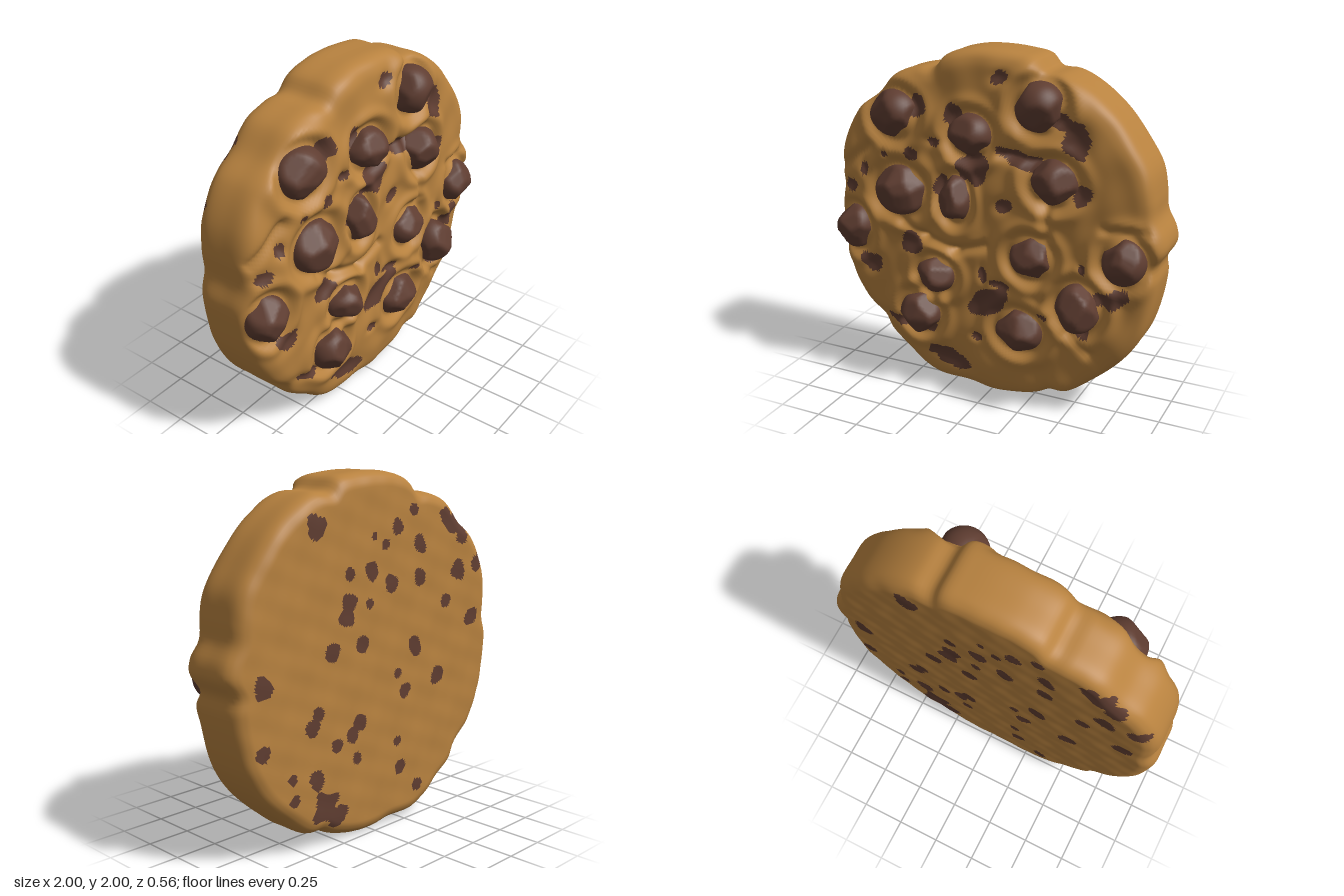
import * as THREE from 'three';
import { mergeVertices } from 'three/addons/utils/BufferGeometryUtils.js';

const dough = new THREE.MeshStandardMaterial({ color: 0xb8823f });
dough.name = 'dough';
const chocolate = new THREE.MeshStandardMaterial({ color: 0x5f3d31 });
chocolate.name = 'chocolate';

// Lumpy outline, clockwise from the top (x, y)
const outline = [
  [0, 2], [0.15, 1.99], [0.25, 1.97], [0.31, 1.91], [0.42, 1.9], [0.55, 1.84], [0.7, 1.72], [0.82, 1.57],
  [0.9, 1.44], [0.93, 1.3], [0.94, 1.2], [0.99, 1.1], [1, 1.03], [0.95, 0.93], [0.96, 0.85], [0.93, 0.65],
  [0.88, 0.5], [0.78, 0.35], [0.62, 0.2], [0.48, 0.1], [0.38, 0.09], [0.3, 0.05], [0.15, 0.01], [0, 0.0],
  [-0.15, 0.02], [-0.33, 0.02], [-0.45, 0.07], [-0.55, 0.15], [-0.68, 0.25], [-0.72, 0.33], [-0.85, 0.45],
  [-0.95, 0.65], [-0.99, 0.85], [-1, 0.98], [-0.97, 1.1], [-0.98, 1.25], [-0.95, 1.42], [-0.85, 1.6],
  [-0.72, 1.7], [-0.6, 1.82], [-0.45, 1.87], [-0.35, 1.88], [-0.28, 1.95], [-0.15, 1.99],
];

// Section from back centre round the rim to front centre (radius factor, z)
const section = [
  [0, -0.255], [0.5, -0.255], [0.88, -0.25], [0.95, -0.24], [0.985, -0.21], [1, -0.16], [1, -0.06],
  [1, 0.03], [0.985, 0.08], [0.95, 0.11], [0.88, 0.13], [0.7, 0.15], [0.4, 0.165], [0, 0.17],
];

// Raised chips: x, y, half width, half height, front z
const chips = [
  [-0.58, 1.61, 0.14, 0.13, 0.21], [0.31, 1.74, 0.13, 0.13, 0.25], [-0.09, 1.55, 0.125, 0.115, 0.24],
  [-0.53, 1.18, 0.15, 0.14, 0.25], [-0.18, 1.18, 0.09, 0.13, 0.25], [0.4, 1.35, 0.13, 0.12, 0.25],
  [-0.87, 0.9, 0.115, 0.13, 0.2], [0.8, 0.97, 0.115, 0.125, 0.25], [0.28, 0.91, 0.125, 0.12, 0.24],
  [-0.31, 0.71, 0.115, 0.105, 0.25], [-0.42, 0.45, 0.12, 0.125, 0.25], [0.21, 0.46, 0.135, 0.125, 0.25],
  [0.56, 0.67, 0.12, 0.135, 0.28],
];

// Sunken chocolate patches in the front: x, y, half width, half height, turn
const patches = [
  [-0.42, 1.67, 0.06, 0.07, 0], [-0.2, 1.65, 0.05, 0.06, 0], [0.52, 1.6, 0.07, 0.1, 0.3],
  [0.43, 1.67, 0.08, 0.04, -0.4], [0.08, 1.87, 0.05, 0.035, 0.2], [-0.31, 1.49, 0.04, 0.025, 0],
  [-0.45, 1.4, 0.045, 0.035, -0.4], [-0.89, 1.15, 0.05, 0.04, 0.3], [-0.78, 1.27, 0.03, 0.035, 0],
  [-0.07, 1.37, 0.1, 0.09, 0.6], [0.21, 1.45, 0.14, 0.045, -0.25], [0.56, 1.3, 0.06, 0.05, 0.5],
  [0.11, 1.18, 0.05, 0.04, 0.4], [-0.47, 0.87, 0.07, 0.065, -0.4], [-0.75, 0.7, 0.075, 0.06, 0],
  [0.02, 0.6, 0.14, 0.075, 0.5], [-0.01, 0.76, 0.025, 0.05, 0], [0.1, 0.72, 0.06, 0.025, 0],
  [0.58, 0.9, 0.02, 0.03, 0], [0.74, 0.75, 0.1, 0.05, 0.3], [0.58, 0.53, 0.04, 0.05, 0],
  [0.36, 0.58, 0.035, 0.02, 0], [-0.24, 0.18, 0.14, 0.06, -0.3], [-0.58, 0.36, 0.08, 0.03, -0.2],
  [-0.37, 0.37, 0.05, 0.05, 0], [-0.05, 0.37, 0.035, 0.025, 0], [-0.26, 1.23, 0.04, 0.07, 0],
  [-0.63, 1.38, 0.02, 0.02, 0],
];

// Chocolate spots in the flat back: x, y, radius
const spots = [
  [0.44, 1.74, 0.065], [-0.29, 1.79, 0.035], [-0.15, 1.7, 0.045], [0.02, 1.66, 0.02], [-0.06, 1.61, 0.028],
  [0.04, 1.48, 0.05], [0.21, 1.48, 0.035], [-0.34, 1.59, 0.05], [-0.57, 1.73, 0.05], [-0.64, 1.68, 0.06],
  [-0.71, 1.62, 0.06], [0.23, 1.25, 0.055], [0.21, 1.33, 0.055], [-0.11, 1.4, 0.05], [0.06, 1.31, 0.03],
  [-0.34, 1.41, 0.05], [0.8, 0.97, 0.06], [0.33, 1.08, 0.055], [0.11, 1.09, 0.05], [-0.68, 1.41, 0.06],
  [-0.86, 1.44, 0.055], [-0.57, 1.25, 0.04], [0.8, 0.63, 0.045], [0.47, 0.7, 0.05], [0.44, 0.77, 0.04],
  [-0.31, 1.02, 0.055], [-0.17, 0.89, 0.03], [-0.81, 1.12, 0.055], [-0.23, 0.78, 0.045], [-0.5, 0.82, 0.055],
  [0.13, 0.66, 0.05], [0.18, 0.6, 0.045], [0.61, 0.45, 0.03], [0.3, 0.57, 0.04], [0.44, 0.41, 0.055],
  [0.6, 0.33, 0.035], [0.15, 0.46, 0.035], [-0.17, 0.49, 0.03], [0.38, 0.24, 0.09], [0.29, 0.17, 0.065],
  [-0.2, 0.33, 0.045], [-0.34, 0.19, 0.04],
];

// Cracks pressed into the front: x1, y1, x2, y2
const cracks = [
  [-0.52, 0.99, -0.38, 0.93], [-0.38, 0.93, -0.18, 0.88], [-0.18, 0.88, 0, 0.93], [0.1, 1.47, 0.4, 1.45],
  [0.36, 1.25, 0.38, 1.05], [-0.75, 1.4, -0.95, 1.25], [0.7, 1.13, 0.9, 1.14], [0.5, 0.5, 0.62, 0.4],
];

const gauss = (d) => Math.exp(-d * d);
const ripple = (x, y) =>
  0.6 * Math.sin(9 * x + 3 * y + 1) * Math.sin(8 * y - 4 * x) + 0.4 * Math.sin(19 * x - 7 * y) * Math.sin(17 * y + 9 * x + 2);

function patchDistance([px, py, rx, ry, turn], x, y) {
  const c = Math.cos(turn), s = Math.sin(turn), dx = x - px, dy = y - py;
  return Math.hypot((dx * c + dy * s) / rx, (dy * c - dx * s) / ry);
}

function crackDistance([x1, y1, x2, y2], x, y) {
  const dx = x2 - x1, dy = y2 - y1;
  const k = THREE.MathUtils.clamp(((x - x1) * dx + (y - y1) * dy) / (dx * dx + dy * dy), 0, 1);
  return Math.hypot(x - x1 - k * dx, y - y1 - k * dy);
}

// Dents, swellings and cracks of the baked front
function frontRelief(x, y) {
  let z = 0.014 * ripple(x, y);
  for (const p of patches) z -= 0.022 * gauss(patchDistance(p, x, y) / 1.1);
  for (const [cx, cy, rx, ry] of chips) {
    const d = Math.hypot((x - cx) / rx, (y - cy) / ry);
    z += 0.018 * gauss((d - 1.6) / 0.3) - 0.02 * gauss((d - 1.1) / 0.25);
  }
  for (const c of cracks) z -= 0.03 * gauss(crackDistance(c, x, y) / 0.03);
  return z;
}

function makeBody() {
  const columns = 280, rows = 165;
  const rim = new THREE.CatmullRomCurve3(
    outline.map(([x, y]) => new THREE.Vector3(x, y, 0)).reverse(), true).getSpacedPoints(columns);
  const profile = new THREE.SplineCurve(section.map(([t, z]) => new THREE.Vector2(t, z))).getSpacedPoints(rows);
  const positions = [];
  for (const { x: t, y: z } of profile) {
    const front = THREE.MathUtils.smoothstep(z, 0, 0.12);
    for (let j = 0; j < columns; j++) {
      const x = t * rim[j].x, y = 1 + t * (rim[j].y - 1);
      const back = z < -0.2 ? 0.004 * ripple(x * 1.7, y * 1.7) : 0;
      positions.push(x, y, z + 0.02 * x + back + front * frontRelief(x, y));
    }
  }
  // Sort faces by colour, with slightly ragged patch edges
  const doughFaces = [], chocolateFaces = [];
  const addFace = (...face) => {
    if (new Set(face).size < 3) return;
    const mid = (k) => face.reduce((sum, v) => sum + positions[3 * v + k], 0) / 3;
    const x = mid(0), y = mid(1), z = mid(2);
    const edge = 1 + 0.2 * Math.sin(40 * x + 9 * y) * Math.sin(37 * y - 11 * x);
    const dark = z > 0.03 ? patches.some((p) => patchDistance(p, x, y) < edge)
      : z < -0.2 && spots.some(([sx, sy, r]) => Math.hypot(x - sx, y - sy) < r * edge);
    (dark ? chocolateFaces : doughFaces).push(...face);
  };
  const id = (i, j) => i * columns + (i === 0 || i === rows ? 0 : j % columns);
  for (let i = 0; i < rows; i++) {
    for (let j = 0; j < columns; j++) {
      const a = id(i, j), b = id(i, j + 1), c = id(i + 1, j), d = id(i + 1, j + 1);
      addFace(a, b, d);
      addFace(a, d, c);
    }
  }
  const geometry = new THREE.BufferGeometry();
  geometry.setAttribute('position', new THREE.Float32BufferAttribute(positions, 3));
  geometry.setIndex(doughFaces.concat(chocolateFaces));
  geometry.addGroup(0, doughFaces.length, 0);
  geometry.addGroup(doughFaces.length, chocolateFaces.length, 1);
  geometry.computeVertexNormals();
  return new THREE.Mesh(geometry, [dough, chocolate]);
}

// A ball trimmed by a few random planes, for softly faceted chunks
function makeChip([x, y, rx, ry, top], seed) {
  let state = seed * 7919 + 17;
  const random = () => (state = (state * 16807) % 2147483647) / 2147483647;
  const planes = Array.from({ length: 9 }, () =>
    new THREE.Vector3(random() - 0.5, random() - 0.5, random() * 0.9 - 0.1).normalize());
  let geometry = new THREE.IcosahedronGeometry(1, 7);
  geometry.deleteAttribute('normal');
  geometry.deleteAttribute('uv');
  geometry = mergeVertices(geometry);
  const position = geometry.attributes.position, v = new THREE.Vector3();
  for (let i = 0; i < position.count; i++) {
    v.fromBufferAttribute(position, i);
    const reach = Math.min(1.03, ...planes.map((p) => 0.87 / Math.max(0.1, p.dot(v))));
    v.multiplyScalar(reach);
    position.setXYZ(i, v.x * rx, v.y * ry, v.z * 0.13);
  }
  geometry.computeVertexNormals();
  const mesh = new THREE.Mesh(geometry, chocolate);
  mesh.position.set(x, y, top - 0.12);
  return mesh;
}

export function createModel() {
  const cookie = new THREE.Group();
  cookie.name = 'cookie';
  const body = makeBody();
  body.name = 'cookieBody';
  cookie.add(body);
  chips.forEach((chip, i) => {
    const mesh = makeChip(chip, i + 1);
    mesh.name = `chocolateChip${i + 1}`;
    cookie.add(mesh);
  });
  return cookie;
}
